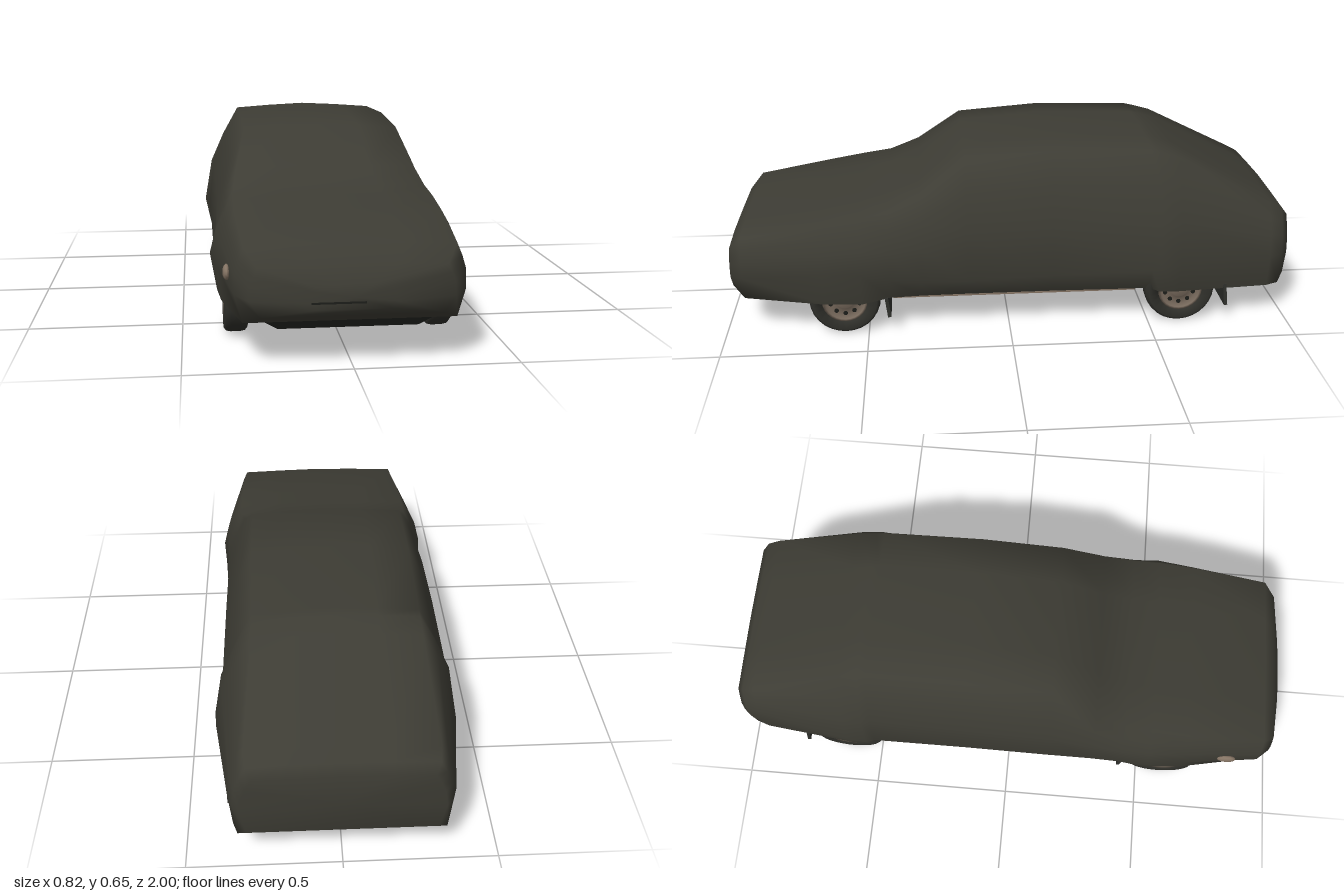
import * as THREE from 'three';

const mat = (name, color, side = THREE.FrontSide) => {
  const m = new THREE.MeshStandardMaterial({ color, side });
  m.name = name;
  return m;
};

// Stations, nose to tail: z, hem x, hem y, widest x, widest y, top edge x, crown y
const STATIONS = [
  [1, .11, .18, .13, .2, .11, .255],
  [.975, .27, .155, .305, .205, .28, .31],
  [.93, .32, .128, .345, .215, .315, .362],
  [.65, .375, .12, .388, .24, .33, .41],
  [.52, .385, .12, .407, .245, .33, .433],
  [.42, .36, .13, .397, .215, .325, .45],
  [.31, .352, .13, .39, .2, .31, .5],
  [.15, .35, .13, .39, .2, .275, .622],
  [-.15, .35, .13, .39, .21, .275, .646],
  [-.5, .355, .13, .392, .215, .272, .638],
  [-.53, .385, .13, .408, .235, .272, .631],
  [-.6, .385, .128, .404, .24, .275, .61],
  [-.93, .345, .12, .357, .24, .3, .437],
  [-.975, .33, .122, .342, .24, .295, .413],
  [-1, .3, .15, .32, .24, .28, .38],
];

// Half outline of one station: hem, widest line, bulging flank, top edge, arched crown
function halfOutline([, hemX, hemY, wideX, wideY, edgeX, crownY]) {
  const edgeY = crownY * .974, rise = edgeY - wideY;
  const flank = (t, bulge) => [wideX + (edgeX - wideX) * t + bulge * rise, wideY + rise * t];
  return [[hemX, hemY], [wideX, wideY], flank(.43, .08), flank(.73, .055),
    [edgeX, edgeY], [edgeX / 2, edgeY + .6 * (crownY - edgeY)]];
}

// Draped cloth skin lofted through the mirrored outlines
function coverGeometry() {
  const pos = [], idx = [], n = 13;
  for (const station of STATIONS) {
    const z = station[0], half = halfOutline(station);
    for (const [x, y] of half) pos.push(x, y, z);
    pos.push(0, station[6], z);
    for (const [x, y] of half.reverse()) pos.push(-x, y, z);
  }
  const last = (STATIONS.length - 1) * n;
  for (let r = 0; r < last; r += n) {
    // The cloth tucks under only at the nose and tail
    const tucked = r < 2 * n || r === last - n;
    for (let j = 0; j < (tucked ? n : n - 1); j++) {
      const a = r + j, b = r + (j + 1) % n;
      idx.push(a, a + n, b, b, a + n, b + n);
    }
  }
  const nose = pos.length / 3;
  pos.push(0, .215, 1, 0, .26, -1);
  for (let j = 0; j < n; j++) {
    const k = (j + 1) % n;
    idx.push(nose, j, k, nose + 1, last + k, last + j);
  }
  const g = new THREE.BufferGeometry();
  g.setAttribute('position', new THREE.Float32BufferAttribute(pos, 3));
  g.setIndex(idx);
  g.computeVertexNormals();
  return g;
}

export function createModel() {
  const car = new THREE.Group();
  car.name = 'coveredCar';
  const cloth = mat('coverCloth', 0x3d3c34, THREE.DoubleSide);
  const rubber = mat('tyreRubber', 0x30302b);
  const rimMat = mat('wheelMetal', 0x75675a);
  const floorMat = mat('floorPan', 0x1d1e1a);
  const steel = mat('chassisSteel', 0x30312d);
  const rust = mat('exhaustRust', 0x512b26);
  const tan = mat('sillPaint', 0x857464);

  const add = (name, geo, m, x = 0, y = 0, z = 0, parent = car) => {
    const mesh = new THREE.Mesh(geo, m);
    mesh.name = name;
    mesh.position.set(x, y, z);
    parent.add(mesh);
    return mesh;
  };
  const box = (name, m, w, h, d, x, y, z) => add(name, new THREE.BoxGeometry(w, h, d), m, x, y, z);
  const tube = (name, m, r, pts) => add(name, new THREE.TubeGeometry(
    new THREE.CatmullRomCurve3(pts.map(p => new THREE.Vector3(...p))), 32, r, 8), m);

  add('carCover', coverGeometry(), cloth);
  box('noseSlit', floorMat, .16, .006, .005, -.045, .2, .998);

  // Floor pan with a narrower engine bay and boot floor
  box('cabinFloor', floorMat, .65, .03, .86, 0, .13, -.02);
  box('frontFloor', floorMat, .52, .03, .52, 0, .14, .66);
  box('rearFloor', floorMat, .52, .03, .38, 0, .145, -.6);
  box('bootFloor', floorMat, .62, .03, .2, 0, .145, -.88);
  box('engineSump', steel, .2, .04, .24, -.03, .11, .6);
  box('centreTunnel', steel, .1, .008, .7, 0, .114, 0);
  box('floorPlate', steel, .13, .006, .36, .2, .113, .2);
  box('fuelTank', steel, .24, .025, .16, -.08, .12, -.44);
  box('tankPlate', rust, .16, .006, .12, -.08, .106, -.47);
  box('floorPatch', rust, .1, .006, .14, -.25, .113, .19);
  box('sillLip', tan, .032, .006, .86, .336, .127, -.02);

  // Front valance, tapered towards its lower edge
  const valance = new THREE.BoxGeometry(.58, .05, .15);
  const vp = valance.attributes.position;
  for (let i = 0; i < vp.count; i++) {
    if (vp.getY(i) < 0) vp.setX(i, vp.getX(i) * .74);
    if (vp.getY(i) < 0 && vp.getZ(i) > 0) vp.setZ(i, .05);
  }
  valance.computeVertexNormals();
  add('frontValance', valance, floorMat, 0, .116, .83);

  // Tyre and dished rim profiles, spun about the wheel axle
  const lathe = pts => new THREE.LatheGeometry(pts.map(p => new THREE.Vector2(...p)), 28).rotateZ(-Math.PI / 2);
  const tyre = lathe([[.076, -.034], [.112, -.038], [.122, -.03], [.125, -.015],
    [.125, .015], [.122, .03], [.112, .038], [.076, .034], [.076, -.034]]);
  const rim = lathe([[.001, -.025], [.077, -.03], [.079, .036], [.072, .034],
    [.066, .018], [.035, .024], [.028, .034], [.001, .034]]);
  const slot = new THREE.CylinderGeometry(.008, .008, .006, 10).rotateZ(Math.PI / 2);

  for (const s of [1, -1]) {
    const side = s > 0 ? 'left' : 'right';
    for (const [end, z] of [['Front', .58], ['Rear', -.61]]) {
      const wheel = new THREE.Group();
      wheel.name = `${side}${end}Wheel`;
      wheel.position.set(s * .33, .125, z);
      if (s < 0) wheel.rotation.y = Math.PI;
      add('tyre', tyre, rubber, 0, 0, 0, wheel);
      add('rim', rim, rimMat, 0, 0, 0, wheel);
      for (let i = 0; i < 10; i++) {
        const a = i * Math.PI / 5;
        add('rimSlot', slot, floorMat, .021, .053 * Math.cos(a), .053 * Math.sin(a), wheel);
      }
      car.add(wheel);
    }
    // Mud flaps behind each wheel
    box(`${side}FrontFlap`, steel, .13, .075, .012, s * .305, .095, .43).rotation.x = .12;
    box(`${side}RearFlap`, steel, .13, .085, .012, s * .305, .1, -.775).rotation.x = .12;
    // Sill and floor rail
    box(`${side}Sill`, steel, .03, .035, .86, s * .336, .148, -.02);
    box(`${side}FloorRail`, steel, .03, .014, .74, s * .19, .112, .06);
    // Suspension arms
    tube(`${side}FrontArm`, steel, .011, [[s * .08, .11, .45], [s * .18, .108, .52], [s * .3, .11, .58]]);
    tube(`${side}RearArm`, steel, .012, [[s * .2, .115, -.32], [s * .25, .112, -.45], [s * .28, .115, -.61]]);
  }

  // Lamp corner showing through at the right wing
  add('lampCorner', new THREE.SphereGeometry(1, 12, 8), tan, -.362, .253, .81).scale.set(.012, .024, .035);

  // Axles
  tube('rearAxle', steel, .014, [[-.3, .12, -.61], [0, .118, -.61], [.3, .12, -.61]]);
  tube('frontCrossbar', steel, .012, [[-.3, .12, .5], [0, .108, .47], [.3, .12, .5]]);

  // Exhaust line with two silencers
  tube('exhaustPipe', rust, .011, [[.13, .11, .62], [.1, .108, .45], [.02, .107, .25], [0, .107, .08],
    [0, .108, -.25], [.1, .112, -.47], [.17, .12, -.65], [.19, .13, -.95]]);
  for (const [name, x, y, z, len, w] of [['middleSilencer', 0, .11, .1, .2, .04], ['rearSilencer', .19, .132, -.86, .18, .06]])
    add(name, new THREE.CylinderGeometry(1, 1, len, 16).rotateX(Math.PI / 2), rust, x, y, z).scale.set(w, .02, 1);

  return car;
}
